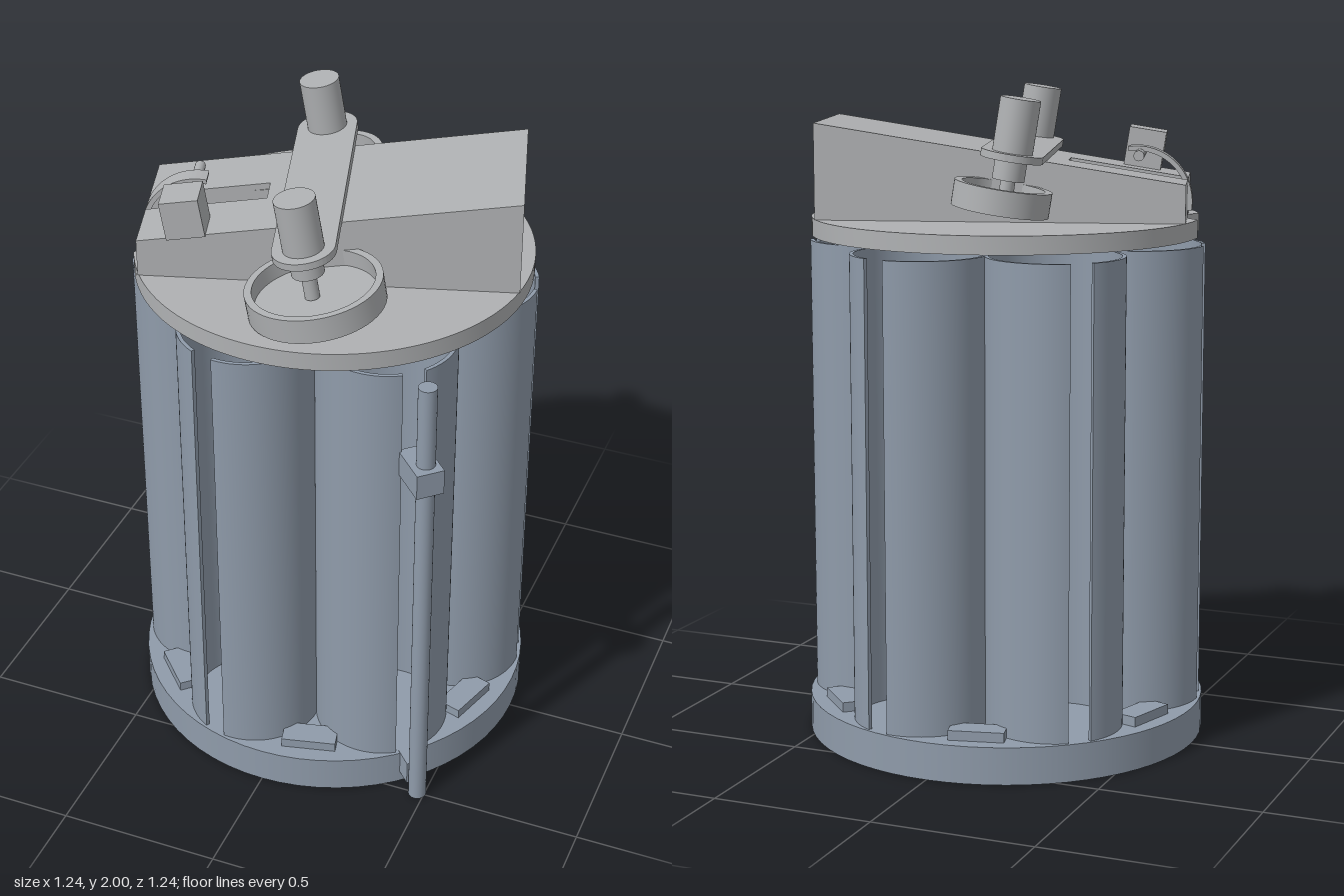
import * as THREE from 'three';
import { toCreasedNormals } from 'three/addons/utils/BufferGeometryUtils.js';

const steel = new THREE.MeshStandardMaterial({ color: 0x8f9baa });
steel.name = 'blueGrey';
const grey = new THREE.MeshStandardMaterial({ color: 0xafb1b3 });
grey.name = 'lightGrey';

const YAW = 0.29;                       // turn of the whole machine
const HALF_L = 0.556, HALF_W = 0.228;   // housing plan
const DECK = 1.62, LOW = 1.735, HIGH = 1.91;
const TILT = Math.atan2(HIGH - LOW, 2 * HALF_L);

function add(parent, name, geometry, material, x = 0, y = 0, z = 0) {
  const mesh = new THREE.Mesh(geometry, material);
  mesh.name = name;
  mesh.position.set(x, y, z);
  parent.add(mesh);
  return mesh;
}
const box = (w, h, d) => new THREE.BoxGeometry(w, h, d);
const cyl = (r, h, n = 40) => new THREE.CylinderGeometry(r, r, h, n);
const polygon = (pts) => new THREE.Shape(pts.map(([x, y]) => new THREE.Vector2(x, y)));

function extrude(shape, depth, curveSegments = 48) {
  const g = new THREE.ExtrudeGeometry(shape, { depth, bevelEnabled: false, curveSegments });
  return toCreasedNormals(g, 0.5);
}
// Plan shape (x, -z) raised along +y
const raise = (shape, height, segs) => extrude(shape, height, segs).rotateX(-Math.PI / 2);

// Tube wall with a narrow slot facing +z
function slottedTube(r, wall, slotHalf, height) {
  const s = new THREE.Shape();
  const a = -Math.PI / 2 + slotHalf / r, b = 1.5 * Math.PI - slotHalf / r;
  s.absarc(0, 0, r, a, b, false);
  s.absarc(0, 0, r - wall, b, a, true);
  return raise(s, height, 56);
}

// Open cup-shaped wheel
function cupWheel(r, h) {
  const pts = [[0, -h / 2], [r, -h / 2], [r, h / 2], [r - 0.022, h / 2],
    [r - 0.022, -h / 2 + 0.025], [0, -h / 2 + 0.025]];
  const g = new THREE.LatheGeometry(pts.map(([x, y]) => new THREE.Vector2(x, y)), 56);
  return toCreasedNormals(g, 0.5);
}

function buildCarousel(model) {
  add(model, 'base', cyl(0.62, 0.115, 64), steel, 0, 0.0575, 0);
  const tube = slottedTube(0.208, 0.012, 0.036, 1.425);
  for (let i = 0; i < 6; i++) {
    const bay = new THREE.Group();
    bay.name = 'tubeBay';
    bay.rotation.y = -YAW + i * Math.PI / 3;
    model.add(bay);
    add(bay, 'storageTube', tube, steel, 0, 0.113, 0.405);
    // spacer on the base between neighbouring tubes
    const gap = new THREE.Group();
    gap.name = 'spacerMount';
    gap.rotation.y = -YAW + (i + 0.5) * Math.PI / 3;
    model.add(gap);
    add(gap, 'spacer', box(0.17, 0.032, 0.08), steel, 0, 0.129, 0.53);
  }
  // guide rod and its brackets
  const side = new THREE.Group();
  side.name = 'guideRodAssembly';
  side.rotation.y = -YAW + Math.PI / 3;
  model.add(side);
  add(side, 'guideRod', cyl(0.028, 1.54, 24), steel, 0.005, 0.77, 0.69);
  add(side, 'upperBracket', box(0.085, 0.08, 0.14), steel, 0, 1.235, 0.667);
  add(side, 'lowerBracket', box(0.05, 0.08, 0.07), steel, 0, 0.078, 0.64);
}

function buildHousing(head) {
  // deck with a notch at the outlet end
  const deck = new THREE.Shape();
  deck.absarc(0, 0, 0.597, -Math.PI + 0.17, Math.PI - 0.17, false);
  [[-0.55, 0.045], [-0.29, 0.045], [-0.29, -0.045], [-0.55, -0.045]]
    .forEach(([x, y]) => deck.lineTo(x, y));
  add(head, 'deck', raise(deck, DECK - 1.565, 64), grey, 0, 1.565, 0);

  // sloping side walls
  const side = polygon([[-HALF_L, DECK], [HALF_L, DECK], [HALF_L, HIGH], [-HALF_L, LOW]]);
  const wall = extrude(side, 0.03);
  add(head, 'sideWall', wall, grey, 0, 0, HALF_W - 0.03);
  add(head, 'sideWall', wall, grey, 0, 0, -HALF_W);

  // sloping lid with the outlet slot
  const L = HALF_L, W = HALF_W, S = 0.045, E = -0.195;
  const lid = raise(polygon([[-L, -W], [L, -W], [L, W], [-L, W], [-L, S], [E, S], [E, -S], [-L, -S]]), 0.02);
  // shear the flat lid up along the slope
  const p = lid.attributes.position;
  for (let i = 0; i < p.count; i++) {
    p.setY(i, p.getY(i) + LOW - 0.02 + (p.getX(i) + L) * Math.tan(TILT));
  }
  lid.computeVertexNormals();
  add(head, 'lid', lid, grey);

  // tall end: window above a solid panel
  add(head, 'endPanel', box(0.025, 0.17, 2 * W - 0.06), grey, L - 0.0125, DECK + 0.085, 0);
  add(head, 'endLintel', box(0.025, 0.02, 2 * W - 0.06), grey, L - 0.0125, 1.885, 0);

  // low end and slot cheeks
  const cheek = extrude(polygon([[-L, DECK], [E, DECK], [E, LOW + 0.035], [-L, LOW - 0.01]]), 0.01);
  for (const s of [-1, 1]) {
    add(head, 'lowEndPanel', box(0.025, LOW - DECK - 0.01, W - S), grey,
      -L + 0.0125, (LOW + DECK) / 2 - 0.005, s * (W + S) / 2);
    add(head, 'slotCheek', cheek, grey, 0, 0, s > 0 ? S : -S - 0.01);
  }
  add(head, 'slotEndWall', box(0.01, 0.155, 2 * S), grey, E + 0.005, DECK + 0.0775, 0);
}

function buildOutlet(head) {
  // curved flap hanging from a cross axle
  const arc = new THREE.Shape();
  arc.absarc(0, 0, 0.17, Math.PI * 0.45, Math.PI * 1.05, false);
  arc.absarc(0, 0, 0.155, Math.PI * 1.05, Math.PI * 0.45, true);
  add(head, 'outletFlap', extrude(arc, 0.056), grey, -0.4, 1.665, -0.028);
  const axle = add(head, 'flapAxle', cyl(0.016, 0.25, 20), grey, -0.41, 1.81, 0.025);
  axle.rotation.x = Math.PI / 2;
  const motor = add(head, 'flapMotor', box(0.115, 0.12, 0.115), grey, -0.418, 1.815, 0.18);
  motor.rotation.z = TILT;
}

function buildDrive(head) {
  const drive = new THREE.Group();
  drive.name = 'tiltedDrive';
  drive.position.y = (LOW + HIGH) / 2;
  drive.rotation.z = TILT;
  head.add(drive);

  // round-ended arm across the lid
  const back = -0.335, front = 0.39, r = 0.092, a = -0.05;
  const arm = new THREE.Shape();
  arm.absarc(0, -back, r, 0, Math.PI, false);
  arm.absarc(0, -front, r, Math.PI, 2 * Math.PI, false);
  arm.closePath();
  add(drive, 'crossArm', raise(arm, 0.022, 32), grey, a, 0, 0);

  for (const [z, wheelR, wheelZ, wheelY] of [[front, 0.2, 0.392, -0.13], [back, 0.145, -0.342, -0.115]]) {
    add(drive, 'driveMotor', cyl(0.06, 0.16), grey, a, 0.1, z);
    add(drive, 'motorCollar', cyl(0.048, 0.06), grey, a, -0.03, z);
    add(drive, 'driveShaft', cyl(0.022, 0.1, 24), grey, a, -0.09, z);
    add(drive, 'driveWheel', cupWheel(wheelR, 0.075), grey, a + 0.01, wheelY, wheelZ);
  }
}

export function createModel() {
  const model = new THREE.Group();
  model.name = 'tubeCarousel';
  buildCarousel(model);
  const head = new THREE.Group();
  head.name = 'head';
  head.rotation.y = YAW;
  model.add(head);
  buildHousing(head);
  buildOutlet(head);
  buildDrive(head);
  return model;
}
